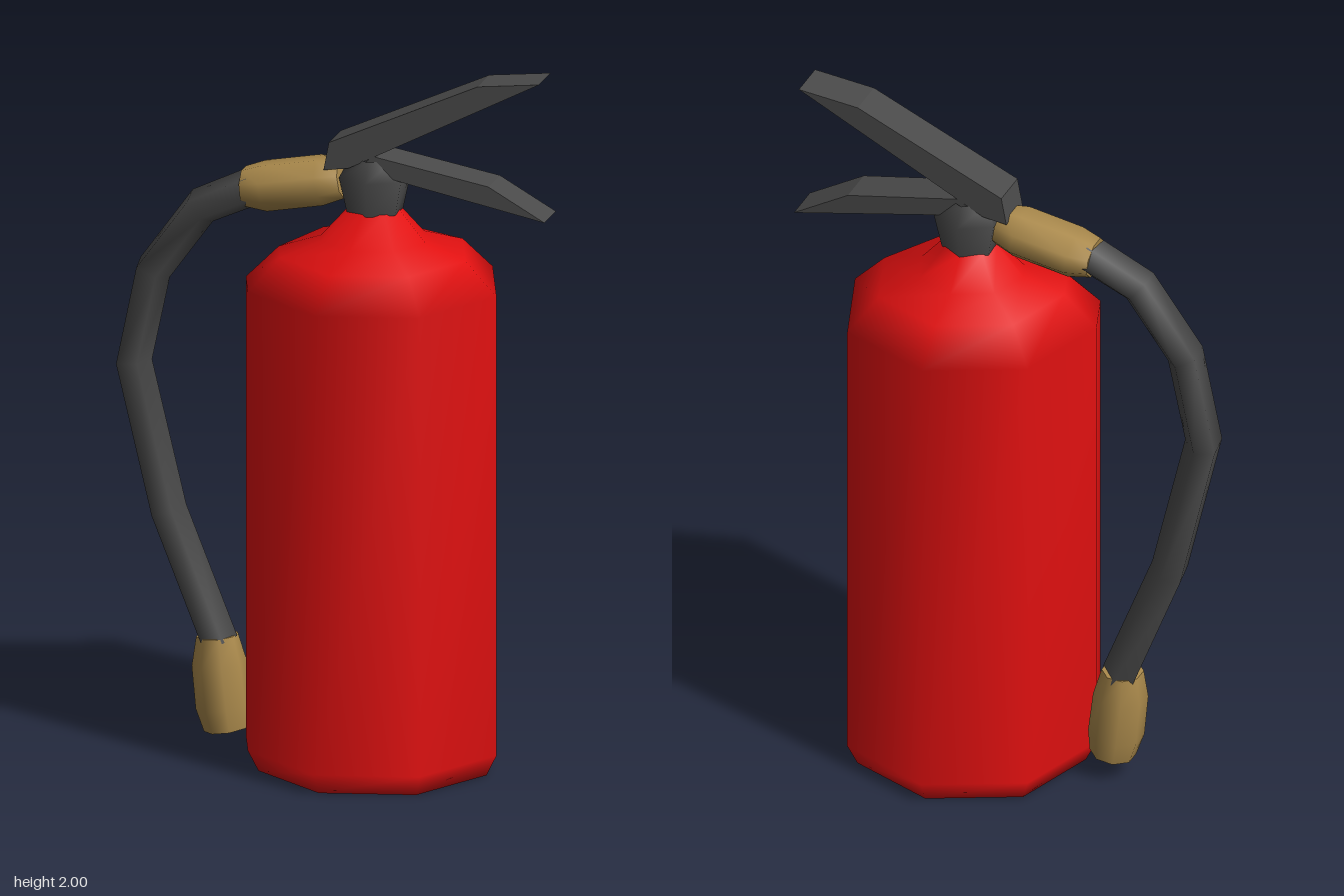
import * as THREE from 'three';

const mat = (name, color) => {
  const m = new THREE.MeshStandardMaterial({ color });
  m.name = name;
  return m;
};

// Evenly spaced ring angles in radians
const ring = (n, offset = 0) => Array.from({ length: n }, (_, i) => offset + (i / n) * Math.PI * 2);

// Skin through cross-sections along a path in the xy plane.
// sections: [x, y, radius in plane, radius in z]; caps: 'flat', 'smooth' or 'open'
function loft(sections, angles, caps = 'flat') {
  const pos = [], index = [], n = angles.length, last = sections.length - 1;
  sections.forEach(([x, y, r, rz = r], i) => {
    const a = sections[Math.max(i - 1, 0)], b = sections[Math.min(i + 1, last)];
    const t = new THREE.Vector2(b[0] - a[0], b[1] - a[1]).normalize();
    for (const q of angles) {
      const k = Math.cos(q) * r;
      pos.push(x + t.y * k, y - t.x * k, Math.sin(q) * rz);
    }
  });
  for (let i = 0; i < last; i++) {
    for (let j = 0; j < n; j++) {
      const a = i * n + j, b = i * n + (j + 1) % n;
      index.push(a, a + n, b, b, a + n, b + n);
    }
  }
  if (caps !== 'open') {
    for (const end of [0, last]) {
      let base = end * n;
      if (caps === 'flat') {
        const copy = pos.slice(base * 3, (base + n) * 3);
        base = pos.length / 3;
        pos.push(...copy);
      }
      for (let j = 1; j < n - 1; j++) {
        if (end === 0) index.push(base, base + j, base + j + 1);
        else index.push(base, base + j + 1, base + j);
      }
    }
  }
  const g = new THREE.BufferGeometry();
  g.setAttribute('position', new THREE.Float32BufferAttribute(pos, 3));
  g.setIndex(index);
  g.computeVertexNormals();
  return g;
}

// Side outline extruded evenly about z = 0
function lever(points, width) {
  const shape = new THREE.Shape(points.map(p => new THREE.Vector2(...p)));
  const g = new THREE.ExtrudeGeometry(shape, { depth: width, bevelEnabled: false });
  return g.translate(0, 0, -width / 2);
}

export function createModel() {
  const group = new THREE.Group();
  group.name = 'fireExtinguisher';
  const red = mat('red', 0xe01010);
  const darkGrey = mat('darkGrey', 0x4a4a4a);
  const brass = mat('brass', 0xab8a4c);
  const add = (name, geometry, material) => {
    const mesh = new THREE.Mesh(geometry, material);
    mesh.name = name;
    group.add(mesh);
  };

  // Eight-sided tank with one narrow face on the hose side
  const cx = 0.12;
  const tankAngles = [-90, -42, 6, 54, 102, 150, 174, 222].map(THREE.MathUtils.degToRad);
  const tankProfile = [[0, 0.33], [0.06, 0.36], [1.375, 0.36], [1.467, 0.268], [1.505, 0.15], [1.59, 0.075]];
  add('tank', loft(tankProfile.map(([y, r]) => [cx, y, r]), tankAngles, 'smooth'), red);

  // Six-sided valve collar, open at the top
  const collar = [[1.585, 0.08], [1.685, 0.102], [1.74, 0.07]].map(([y, r]) => [cx, y, r]);
  add('valveCollar', loft(collar, ring(6, Math.PI / 2), 'open'), darkGrey);

  // Squeeze levers
  add('upperLever', lever([[-0.01, 1.705], [0.06, 1.715], [0.605, 2], [0.43, 1.98], [0.005, 1.785]], 0.118), darkGrey);
  add('lowerLever', lever([[0.09, 1.72], [0.2, 1.69], [0.62, 1.605], [0.46, 1.695], [0.13, 1.755]], 0.116), darkGrey);

  // Hose hanging beside the tank
  const hosePath = [[-0.22, 1.63], [-0.38, 1.555], [-0.517, 1.365], [-0.572, 1.1], [-0.472, 0.68], [-0.325, 0.31]];
  const hoseAngles = [-35, 55, 120, 180, 265].map(THREE.MathUtils.degToRad);
  add('hose', loft(hosePath.map(([x, y]) => [x, y, 0.056, 0.064]), hoseAngles), darkGrey);

  // Brass fittings at both ends of the hose
  const octagon = ring(8, Math.PI / 8);
  add('hoseCoupling', loft([
    [0.03, 1.668, 0.056, 0.062], [-0.03, 1.658, 0.07, 0.083],
    [-0.19, 1.628, 0.07, 0.083], [-0.25, 1.622, 0.055, 0.065],
  ], octagon), brass);
  add('nozzle', loft([
    [-0.331, 0.33, 0.057, 0.064], [-0.325, 0.25, 0.075, 0.083],
    [-0.312, 0.13, 0.077, 0.083], [-0.302, 0.065, 0.064, 0.068],
  ], octagon), brass);

  return group;
}
